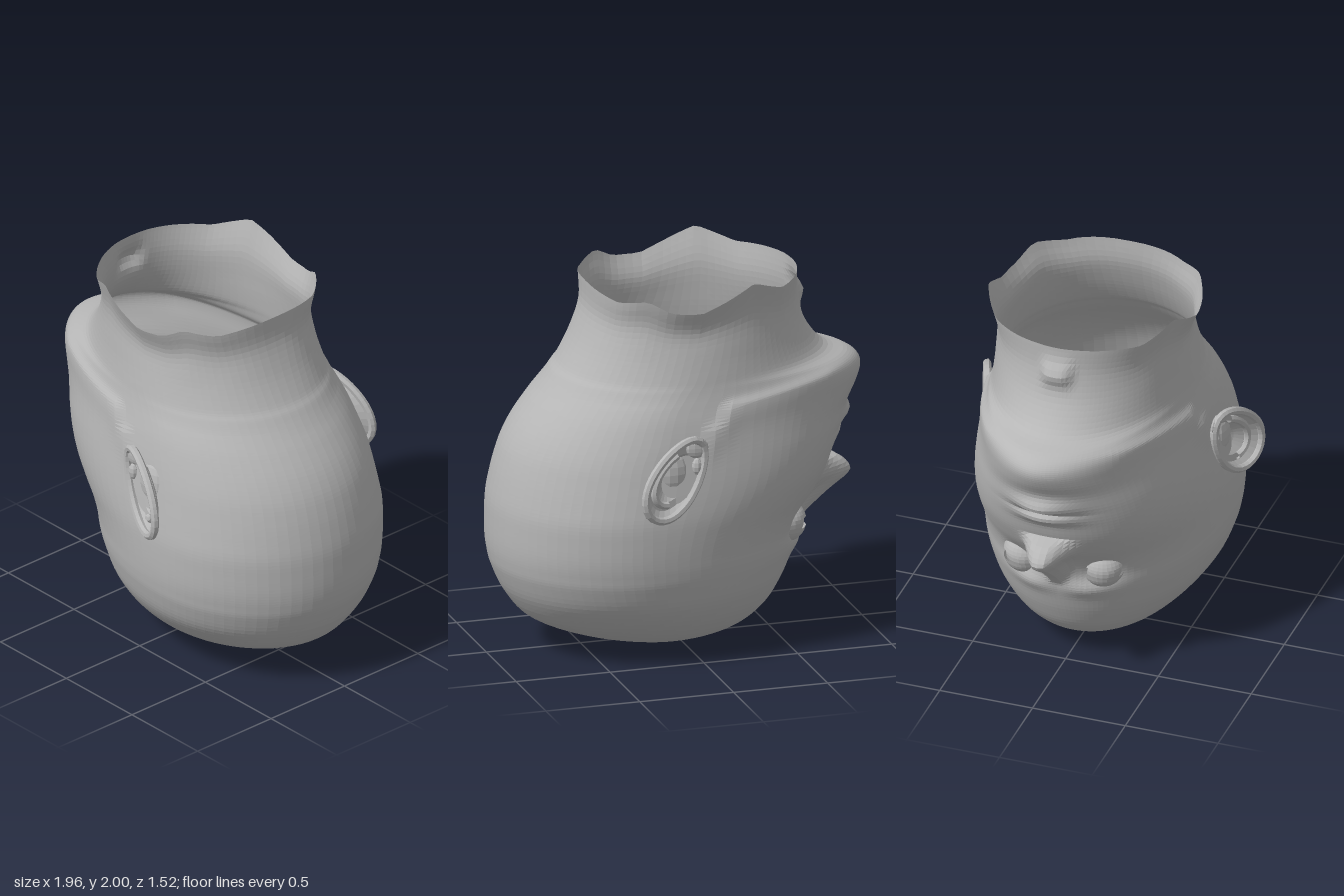
import * as THREE from 'three';

const clamp01 = (t) => Math.min(1, Math.max(0, t));
const bump = (v, centre, size) => Math.exp(-(((v - centre) / size) ** 2));

// Head sections from crown to neck: y, front x, back x, half width, x of widest point, front roundness
const SECTIONS = [
  [0, 0.05, 0.05, 0, 0.05, 2],
  [0.02, -0.14, 0.26, 0.17, 0.07, 2],
  [0.08, -0.34, 0.54, 0.325, 0.1, 2],
  [0.18, -0.47, 0.78, 0.455, 0.17, 2],
  [0.31, -0.55, 0.895, 0.56, 0.24, 2],
  [0.44, -0.605, 0.955, 0.612, 0.28, 2],
  [0.52, -0.63, 0.975, 0.63, 0.29, 2],
  [0.6, -0.645, 0.983, 0.64, 0.3, 2],
  [0.7, -0.68, 0.983, 0.645, 0.3, 2.05],
  [0.8, -0.735, 0.978, 0.645, 0.3, 2.15],
  [0.9, -0.785, 0.96, 0.635, 0.28, 2.25],
  [1.0, -0.82, 0.935, 0.622, 0.26, 2.3],
  [1.1, -0.855, 0.9, 0.608, 0.24, 2.25],
  [1.2, -0.895, 0.845, 0.592, 0.2, 2.1],
  [1.3, -0.955, 0.77, 0.57, 0.17, 1.95],
  [1.37, -0.98, 0.71, 0.55, 0.14, 1.9],
  [1.42, -0.965, 0.67, 0.535, 0.1, 1.9],
  [1.46, -0.91, 0.64, 0.525, 0.07, 1.9],
  [1.51, -0.78, 0.6, 0.515, 0.03, 1.92],
  [1.64, -0.68, 0.53, 0.495, -0.02, 2],
  [1.8, -0.635, 0.475, 0.485, -0.06, 2],
  [1.95, -0.63, 0.47, 0.53, -0.08, 2],
];

// Ragged neck rim: x, y
const RIM = [[-0.7, 1.93], [-0.62, 1.94], [-0.45, 1.93], [-0.27, 2.0], [-0.1, 1.92], [0.02, 1.87],
  [0.17, 1.88], [0.28, 1.94], [0.4, 1.91], [0.5, 1.94]];

function rimHeight(x) {
  let i = 0;
  while (i < RIM.length - 2 && x > RIM[i + 1][0]) i++;
  const t = clamp01((x - RIM[i][0]) / (RIM[i + 1][0] - RIM[i][0]));
  return THREE.MathUtils.lerp(RIM[i][1], RIM[i + 1][1], t);
}

// Smooth interpolation of the section table
function section(t) {
  const last = SECTIONS.length - 1;
  const i = Math.min(last - 1, Math.floor(t));
  const f = t - i;
  const at = (k) => SECTIONS[Math.min(last, Math.max(0, k))];
  return SECTIONS[0].map((_, j) => {
    const a = at(i - 1)[j], b = at(i)[j], c = at(i + 1)[j], d = at(i + 2)[j];
    return b + 0.5 * f * (c - a + f * (2 * a - 5 * b + 4 * c - d + f * (3 * (b - c) + d - a)));
  });
}

// Closed-ring surface from a point rule
function ringSurface(rows, cols, point) {
  const positions = [], index = [];
  for (let r = 0; r <= rows; r++) {
    for (let c = 0; c < cols; c++) {
      positions.push(...point(r / rows, (c / cols) * Math.PI * 2));
      if (r === rows) continue;
      const a = r * cols + c, b = r * cols + ((c + 1) % cols);
      index.push(a, a + cols, b, b, a + cols, b + cols);
    }
  }
  const geometry = new THREE.BufferGeometry();
  geometry.setAttribute('position', new THREE.Float32BufferAttribute(positions, 3));
  geometry.setIndex(index);
  geometry.computeVertexNormals();
  return geometry;
}

function headPoint(v, s) {
  const [y, front, back, width, mid, round] = section(v * (SECTIONS.length - 1));
  // Columns crowd towards the face
  const angle = s + 0.4 * Math.sin(s);
  const c = Math.cos(angle), n = Math.sin(angle);
  // The nape is squarer than the skull
  const power = c < 0 ? 2 / round : 1 - 0.2 * clamp01((y - 1.4) / 0.5);
  const reach = Math.abs(c) ** power;
  let x = c < 0 ? mid - (mid - front) * reach : mid + (back - mid) * reach;
  let z = Math.sign(n) * Math.max(0, width) * Math.abs(n) ** power;
  const side = Math.abs(z);

  if (c < 0) {
    // Nose: long slope to a blunt tip, steep underside, wings beside it
    const rise = clamp01((y - 0.53) / 0.24);
    const fall = Math.sqrt(clamp01((0.895 - y) / 0.09));
    x -= 0.2 * rise * fall * Math.exp(-((side / (0.04 + 0.04 * rise)) ** 3));
    x -= 0.06 * fall * bump(side, 0.095, 0.045) * bump(y, 0.83, 0.06);
    // Eye sockets and brow
    x += 0.035 * bump(side, 0.21, 0.09) * bump(y, 0.63, 0.08);
    x -= 0.02 * bump(side, 0.16, 0.12) * bump(y, 0.5, 0.05);
    // Lips and the line between them
    const mouth = bump(z, 0, 0.15);
    x -= mouth * (0.035 * bump(y, 1.04, 0.035) + 0.06 * bump(y, 1.13, 0.055));
    x += mouth * 0.025 * bump(y, 1.085, 0.016);
    // Throat lump
    x -= 0.045 * Math.exp(-((side / 0.08) ** 4)) * bump(y, 1.8, 0.06);
    // Jaw edge: crisp on the neck side, fading into the cheek, dropping to the ear
    const edge = 1.425 - 0.1 * (x + 0.75) - 0.9 * Math.max(0, x + 0.14);
    const along = clamp01((x + 0.92) / 0.2) * clamp01((0.04 - x) / 0.12);
    z += Math.sign(z) * 0.022 * along * bump(y, edge, y > edge ? 0.03 : 0.11);
  }
  const neck = Math.max(0, y - 1.6);
  return [x, y + (neck * (rimHeight(x) - 1.95)) / 0.35, z];
}

// Ear outline on the left (+z) side; scale shrinks it inwards, depth sinks it
function earPoint(scale, a, depth) {
  const along = 0.228 * scale * Math.cos(a);
  const across = 0.138 * scale * Math.sin(a) * (1 + 0.15 * Math.cos(a));
  const x = 0.2 + 0.62 * along + 0.78 * across;
  return [x, 1.05 - 0.78 * along + 0.62 * across, 0.598 + 0.37 * x - depth];
}

function earTube(scale, depth, radius, start, end) {
  const full = end - start > 6.2;
  const points = [];
  for (let i = 0; i < 20; i++) {
    const a = start + ((end - start) * i) / (full ? 20 : 19);
    points.push(new THREE.Vector3(...earPoint(scale, a, depth)));
  }
  return new THREE.TubeGeometry(new THREE.CatmullRomCurve3(points, full), 36, radius, 7, full);
}

export function createModel() {
  const skin = new THREE.MeshStandardMaterial({ color: 0xb6b6b6 });
  skin.name = 'grey';
  skin.flatShading = true;
  skin.side = THREE.DoubleSide;

  const model = new THREE.Group();
  model.name = 'upturnedHead';
  const add = (parent, name, geometry, position = [0, 0, 0]) => {
    const mesh = new THREE.Mesh(geometry, skin);
    mesh.name = name;
    mesh.position.set(...position);
    parent.add(mesh);
    return mesh;
  };

  add(model, 'headAndNeck', ringSurface(105, 96, headPoint));

  // Each side's ear, ear canal, eyeball and lids
  for (const side of [1, -1]) {
    const half = new THREE.Group();
    half.name = side > 0 ? 'leftHalf' : 'rightHalf';
    half.scale.z = side;
    model.add(half);

    add(half, 'earRim', earTube(1, 0, 0.021, 0, Math.PI * 2));
    add(half, 'earInnerFold', earTube(0.66, 0.03, 0.02, -0.5, 2.3));
    const depths = [0, 0.035, 0.04, 0.07, 0.09, 0.1];
    add(half, 'earBowl', ringSurface(5, 28, (v, a) => earPoint(1 - v, a, depths[Math.round(v * 5)])));
    add(half, 'earRoot', new THREE.SphereGeometry(0.1, 14, 10), [0.2, 1.06, 0.57]).scale.set(1, 1.3, 0.6);
    add(half, 'earFlap', new THREE.SphereGeometry(0.035, 8, 6), [0.07, 1.09, 0.605]).scale.set(0.8, 1.3, 0.7);
    add(half, 'earLobe', new THREE.SphereGeometry(0.06, 10, 8), [0.07, 1.19, 0.608]).scale.set(1, 0.9, 0.3);
    const canal = add(half, 'earCanal', new THREE.CylinderGeometry(0.02, 0.025, 0.17, 8), [0.1, 1.09, 0.5]);
    canal.rotation.set(Math.PI / 2, 0, 0.2);

    add(half, 'eyeball', new THREE.SphereGeometry(0.1, 20, 14), [-0.52, 0.62, 0.21]);
    for (const [name, flip, turn] of [['upperLid', Math.PI, -0.3], ['lowerLid', 0, 0.3]]) {
      const lid = add(half, name, new THREE.SphereGeometry(0.112, 14, 8, -Math.PI / 2, Math.PI, 0, Math.PI * 0.43),
        [-0.52, 0.62, 0.21]);
      lid.rotation.set(flip, turn, 0);
    }
  }
  return model;
}
